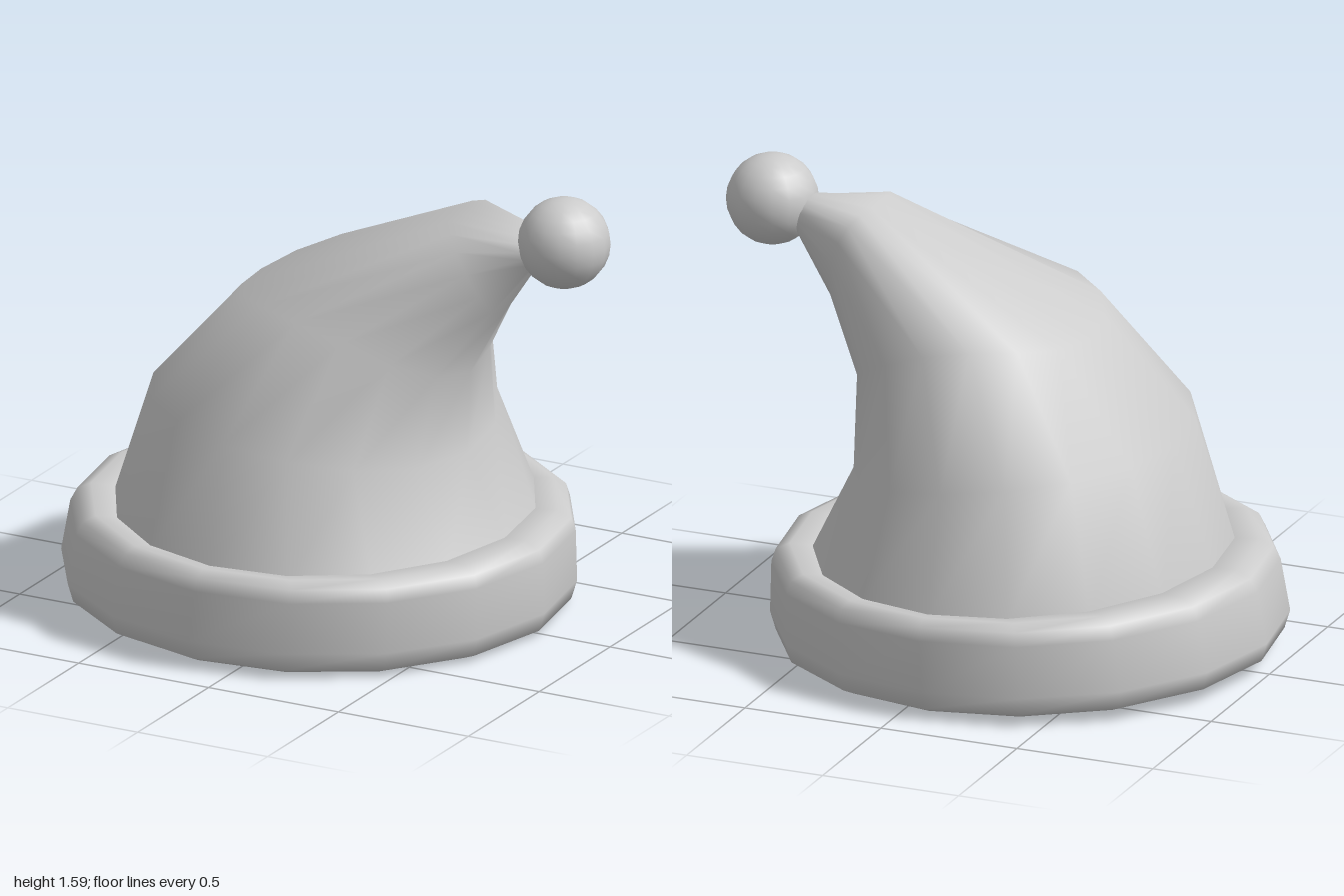
import * as THREE from 'three';

const SIDES = 16;
const PHASE = THREE.MathUtils.degToRad(1.5);

// A ring is an ellipse whose height follows y + tilt * cos + bow * cos^2
function loft(rings, closed = false) {
  const pos = [], index = [];
  for (const { cx, cz = 0, rx, rz, y, tilt = 0, bow = 0 } of rings) {
    for (let i = 0; i < SIDES; i++) {
      const a = PHASE + (i / SIDES) * Math.PI * 2;
      const c = Math.cos(a), s = Math.sin(a);
      pos.push(cx + rx * c, y + tilt * c + bow * c * c, cz + rz * s);
    }
  }
  const n = rings.length;
  for (let j = 0; j < (closed ? n : n - 1); j++) {
    const k = (j + 1) % n;
    for (let i = 0; i < SIDES; i++) {
      const m = (i + 1) % SIDES;
      const a = j * SIDES + i, b = j * SIDES + m;
      const c = k * SIDES + i, d = k * SIDES + m;
      index.push(a, c, b, b, c, d);
    }
  }
  const geo = new THREE.BufferGeometry();
  geo.setAttribute('position', new THREE.Float32BufferAttribute(pos, 3));
  geo.setIndex(index);
  geo.computeVertexNormals();
  return geo;
}

export function createModel() {
  const group = new THREE.Group();
  const add = (name, geo, side = THREE.FrontSide) => {
    const mesh = new THREE.Mesh(geo, new THREE.MeshStandardMaterial({ color: 0xcccccc, side }));
    mesh.name = name;
    group.add(mesh);
    return mesh;
  };

  // Thick rolled brim: [centre x, radius x, radius z, height], slightly higher at -x
  const brim = [
    [-0.12, 0.76, 0.77, 0.02],
    [-0.12, 0.81, 0.82, 0.015],
    [-0.12, 0.86, 0.86, 0.035],
    [-0.12, 0.88, 0.877, 0.10],
    [-0.105, 0.86, 0.87, 0.28],
    [-0.10, 0.84, 0.855, 0.325],
    [-0.10, 0.79, 0.82, 0.348],
    [-0.10, 0.70, 0.77, 0.345],
    [-0.10, 0.69, 0.76, 0.32],
    [-0.12, 0.745, 0.76, 0.06],
  ].map(([cx, rx, rz, y]) => ({ cx, rx, rz, y, tilt: -0.016 }));
  add('brim', loft(brim, true));

  // Floppy cone, leaning over to +x and narrowing to the tip
  add('hatBody', loft([
    { cx: -0.095, rx: 0.71, rz: 0.785, y: 0.325, tilt: -0.015 },
    { cx: -0.10, rx: 0.56, rz: 0.69, y: 0.75, tilt: -0.085, bow: -0.055 },
    { cx: 0.06, rx: 0.41, rz: 0.48, y: 1.15, tilt: -0.11, bow: -0.14 },
    { cx: 0.515, cz: 0.015, rx: 0.085, rz: 0.18, y: 1.39, tilt: -0.18, bow: -0.08 },
    { cx: 0.715, cz: 0.03, rx: 0.015, rz: 0.08, y: 1.40, tilt: -0.072 },
  ]), THREE.DoubleSide);

  // Ball at the tip
  add('pompom', new THREE.SphereGeometry(0.158, 16, 12)).position.set(0.84, 1.436, 0.03);

  return group;
}
